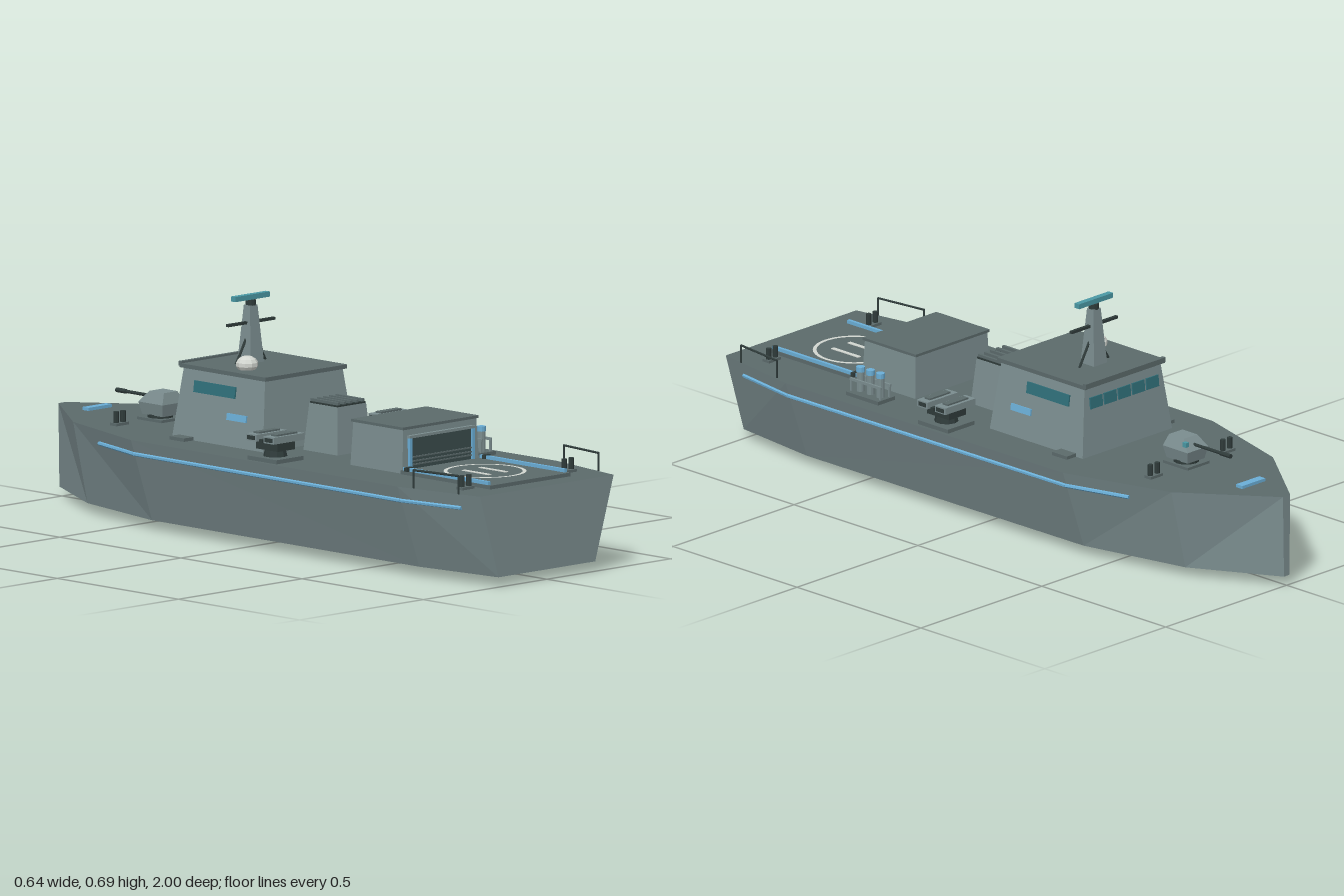
import * as THREE from 'three';

const mat = (name, color, flat = true) => {
  const m = new THREE.MeshStandardMaterial({ color, flatShading: flat });
  m.name = name;
  return m;
};
const M = {
  hull: mat('hullGrey', 0x7b8d8f),
  deck: mat('deckGrey', 0x5b6a6b),
  dark: mat('darkMetal', 0x2f3b3a),
  door: mat('doorGrey', 0x3a4c4c),
  blue: mat('blueTrim', 0x6aaed6),
  teal: mat('radarTeal', 0x4a98a4),
  glass: mat('windowGlass', 0x2f6e78),
  white: mat('markingWhite', 0xd2d6d0),
};

export function createModel() {
  const root = new THREE.Group();
  const DECK = 0.275, KEEL = 0.03;

  const add = (name, geo, m, x = 0, y = 0, z = 0, parent = root) => {
    const mesh = new THREE.Mesh(geo, m);
    mesh.name = name;
    mesh.position.set(x, y, z);
    parent.add(mesh);
    return mesh;
  };
  // box given by centre x, bottom y, centre z
  const box = (name, m, w, h, d, x, y, z, parent) =>
    add(name, new THREE.BoxGeometry(w, h, d), m, x, y + h / 2, z, parent);
  // box narrowing to tw x td at the top, top shifted by sz
  const taper = (name, m, w, h, d, tw, td, x, y, z, sz = 0, parent = root) => {
    const g = new THREE.BoxGeometry(w, h, d), p = g.attributes.position;
    for (let i = 0; i < p.count; i++) if (p.getY(i) > 0) {
      p.setX(i, p.getX(i) * tw / w);
      p.setZ(i, p.getZ(i) * td / d + sz);
    }
    g.computeVertexNormals();
    return add(name, g, m, x, y + h / 2, z, parent);
  };
  // round bar between two points
  const bar = (name, m, a, b, r, sides = 6, parent = root) => {
    const A = new THREE.Vector3(...a), B = new THREE.Vector3(...b), d = B.clone().sub(A);
    const mesh = add(name, new THREE.CylinderGeometry(r, r, d.length(), sides), m, 0, 0, 0, parent);
    mesh.position.copy(A).add(B).multiplyScalar(0.5);
    mesh.quaternion.setFromUnitVectors(new THREE.Vector3(0, 1, 0), d.normalize());
    return mesh;
  };

  // Hull: stations of [z, deck half width], bottom drawn in
  const ST = [[1, 0.27], [0.71, 0.32], [-0.4, 0.31], [-0.74, 0.21], [-1, 0.015]], IN = 0.725;
  const hullPos = [], deckPos = [];
  const tri = (out, ...pts) => pts.forEach((q) => out.push(...q));
  const T = (i, s) => [s * ST[i][1], DECK, ST[i][0]];
  const B = (i, s) => [s * ST[i][1] * IN, KEEL, ST[i][0]];
  const quad = (out, a, b, c, d) => tri(out, a, b, c, a, c, d);
  for (let i = 0; i < ST.length - 1; i++) {
    tri(hullPos, B(i, 1), B(i + 1, 1), T(i + 1, 1), B(i, 1), T(i + 1, 1), T(i, 1));
    tri(hullPos, B(i, -1), T(i + 1, -1), B(i + 1, -1), B(i, -1), T(i, -1), T(i + 1, -1));
    quad(hullPos, B(i, -1), B(i + 1, -1), B(i + 1, 1), B(i, 1));
    quad(deckPos, T(i, -1), T(i, 1), T(i + 1, 1), T(i + 1, -1));
  }
  quad(hullPos, B(0, -1), B(0, 1), T(0, 1), T(0, -1));
  quad(hullPos, B(4, 1), B(4, -1), T(4, -1), T(4, 1));
  const geoOf = (arr) => {
    const g = new THREE.BufferGeometry();
    g.setAttribute('position', new THREE.Float32BufferAttribute(arr, 3));
    g.computeVertexNormals();
    return g;
  };
  add('hull', geoOf(hullPos), M.hull);
  add('mainDeck', geoOf(deckPos), M.deck);
  add('sonarDome', new THREE.SphereGeometry(1, 16, 8), M.dark, 0, 0.03, -0.62).scale.set(0.09, 0.029, 0.125);

  // Rub rails along both sides
  const railX = (z) => {
    for (let i = 0; i < 4; i++) {
      const [z0, x0] = ST[i], [z1, x1] = ST[i + 1];
      if (z <= z0 && z >= z1) return (x0 + (x1 - x0) * (z0 - z) / (z0 - z1)) * 0.953 + 0.003;
    }
  };
  const railZ = [0.925, 0.71, -0.4, -0.6];
  for (const s of [-1, 1]) for (let i = 0; i < 3; i++)
    bar('rubRail', M.blue, [s * railX(railZ[i]), 0.233, railZ[i]], [s * railX(railZ[i + 1]), 0.233, railZ[i + 1]], 0.006);

  // Bridge
  const BH = 0.203, tilt = Math.atan(0.028 / BH);
  taper('bridge', M.hull, 0.37, BH, 0.375, 0.314, 0.335, 0, DECK, -0.17);
  box('bridgeRoof', M.deck, 0.33, 0.012, 0.355, 0, 0.478, -0.17);
  for (const s of [-1, 1]) {
    const onWall = (y) => s * (0.185 - 0.028 * (y - DECK) / BH + 0.001);
    box('sideWindow', M.glass, 0.008, 0.034, 0.17, onWall(0.43), 0.413, -0.2).rotation.z = s * tilt;
    box('sidePanel', M.blue, 0.008, 0.02, 0.08, onWall(0.36), 0.35, -0.1).rotation.z = s * tilt;
    box('bridgeStep', M.deck, 0.045, 0.01, 0.06, s * 0.2, DECK, -0.3);
  }
  for (let i = -2; i <= 2; i++)
    box('frontWindow', M.glass, 0.05, 0.034, 0.008, i * 0.058, 0.413, -0.343).rotation.x = 0.098;
  box('bridgeVisor', M.deck, 0.33, 0.014, 0.012, 0, 0.482, -0.345);

  // Mast and radars
  const MZ = -0.222;
  taper('mast', M.hull, 0.056, 0.177, 0.056, 0.03, 0.026, 0, 0.48, MZ);
  add('mastCap', new THREE.CylinderGeometry(0.015, 0.015, 0.017, 10), M.dark, 0, 0.664, MZ);
  box('radarBar', M.teal, 0.14, 0.015, 0.018, 0, 0.673, MZ);
  box('yard', M.dark, 0.19, 0.008, 0.01, 0, 0.602, MZ);
  for (const s of [-1, 1]) bar('mastStrut', M.dark, [s * 0.062, 0.485, MZ], [s * 0.012, 0.57, MZ], 0.004);
  add('domeBase', new THREE.CylinderGeometry(0.022, 0.022, 0.012, 10), M.hull, -0.1, 0.487, -0.135);
  add('radarDome', new THREE.SphereGeometry(0.033, 10, 7), M.white, -0.1, 0.505, -0.135).scale.y = 0.76;

  // Funnel with exhaust grille
  taper('funnel', M.hull, 0.14, 0.138, 0.14, 0.116, 0.116, 0, DECK, 0.137);
  box('funnelTop', M.dark, 0.114, 0.006, 0.114, 0, 0.412, 0.137);
  for (let i = -2; i <= 2; i++) box('funnelSlat', M.deck, 0.009, 0.012, 0.112, i * 0.025, 0.414, 0.137);

  // Hangar with roller door facing the landing pad
  taper('hangar', M.hull, 0.31, 0.128, 0.215, 0.296, 0.205, 0, DECK, 0.455);
  box('hangarRoof', M.deck, 0.305, 0.008, 0.215, 0, 0.402, 0.455);
  box('hangarDoor', M.door, 0.24, 0.09, 0.008, 0, 0.286, 0.561);
  for (const y of [0.296, 0.306, 0.318]) box('doorSlat', M.deck, 0.24, 0.004, 0.004, 0, y, 0.566);
  box('doorHeader', M.hull, 0.264, 0.008, 0.014, 0, 0.376, 0.563);
  for (const s of [-1, 1]) box('doorFrame', M.blue, 0.01, 0.09, 0.014, s * 0.126, 0.286, 0.563);

  // Landing pad with painted circle and touchdown bars
  box('landingPad', M.deck, 0.325, 0.011, 0.37, 0, DECK, 0.747);
  const ring = add('landingCircle', new THREE.RingGeometry(0.109, 0.12, 40), M.white, 0, 0.2875, 0.745);
  ring.rotation.x = -Math.PI / 2;
  for (const s of [-1, 1]) {
    box('touchdownBar', M.white, 0.013, 0.002, 0.11, s * 0.034, 0.286, 0.745);
    box('padEdgeLight', M.blue, 0.01, 0.01, 0.35, s * 0.155, 0.286, 0.745);
    box('padEdgeBlock', M.dark, 0.024, 0.012, 0.012, s * 0.157, 0.286, 0.59);
  }

  // Deck gun
  const gun = new THREE.Group();
  gun.name = 'deckGun';
  root.add(gun);
  box('gunPlate', M.deck, 0.09, 0.008, 0.1, 0, DECK, -0.595, gun);
  add('gunRing', new THREE.CylinderGeometry(0.038, 0.038, 0.012, 12), M.dark, 0, 0.287, -0.595, gun);
  taper('turretLower', M.hull, 0.07, 0.036, 0.085, 0.086, 0.1, 0, 0.291, -0.592, 0, gun);
  taper('turretUpper', M.hull, 0.086, 0.033, 0.1, 0.055, 0.06, 0, 0.327, -0.592, 0.01, gun);
  bar('barrel', M.dark, [0, 0.34, -0.62], [0, 0.34, -0.77], 0.005, 8, gun);
  bar('muzzle', M.dark, [0, 0.34, -0.735], [0, 0.34, -0.775], 0.007, 8, gun);
  box('gunSight', M.teal, 0.012, 0.014, 0.014, 0.033, 0.34, -0.625, gun);
  box('bowMarker', M.blue, 0.095, 0.009, 0.025, 0, DECK, -0.855);

  // Twin launchers on both sides
  for (const s of [-1, 1]) {
    const g = new THREE.Group();
    g.name = 'twinLauncher';
    g.position.set(s * 0.247, DECK, 0.132);
    root.add(g);
    box('launcherBase', M.deck, 0.11, 0.012, 0.12, 0, 0, 0, g);
    add('launcherPivot', new THREE.CylinderGeometry(0.03, 0.036, 0.024, 10), M.dark, 0, 0.022, 0, g);
    box('launcherCradle', M.dark, 0.07, 0.026, 0.09, 0, 0.032, 0, g);
    for (const t of [-1, 1]) {
      box('launcherTube', M.hull, 0.125, 0.02, 0.042, 0, 0.058, t * 0.036, g);
      box('tubeLid', M.deck, 0.085, 0.005, 0.022, 0, 0.078, t * 0.036, g);
      box('tubeEnd', M.dark, 0.128, 0.012, 0.03, 0, 0.062, t * 0.036, g);
    }
    box('launcherSpine', M.dark, 0.12, 0.01, 0.012, 0, 0.056, 0, g);
  }

  // Vertical tube rack on the left side
  box('rackBase', M.deck, 0.07, 0.011, 0.13, 0.235, DECK, 0.45);
  for (const z of [0.41, 0.45, 0.49]) {
    bar('rackTube', M.hull, [0.235, 0.28, z], [0.235, 0.345, z], 0.012, 10);
    bar('rackTubeCap', M.blue, [0.235, 0.345, z], [0.235, 0.36, z], 0.013, 10);
  }
  for (const x of [0.216, 0.254]) {
    box('rackRail', M.hull, 0.006, 0.008, 0.125, x, 0.318, 0.45);
    for (const z of [0.392, 0.508]) box('rackPost', M.hull, 0.006, 0.04, 0.006, x, 0.284, z);
  }

  // Bollards and stern handrails
  for (const s of [-1, 1]) {
    for (const [x, z] of [[0.15, -0.61], [0.207, 0.875]]) {
      box('bollardPlate', M.deck, 0.05, 0.008, 0.026, s * x, DECK, z);
      for (const o of [-0.014, 0.014])
        add('bollard', new THREE.CylinderGeometry(0.008, 0.008, 0.034, 8), M.dark, s * x + o, 0.299, z);
    }
    const ends = [[s * 0.304, 0.76], [s * 0.283, 0.925]];
    for (const [x, z] of ends) bar('railPost', M.dark, [x, DECK, z], [x, 0.329, z], 0.003);
    bar('handRail', M.dark, [ends[0][0], 0.328, ends[0][1]], [ends[1][0], 0.328, ends[1][1]], 0.0035);
  }
  return root;
}
